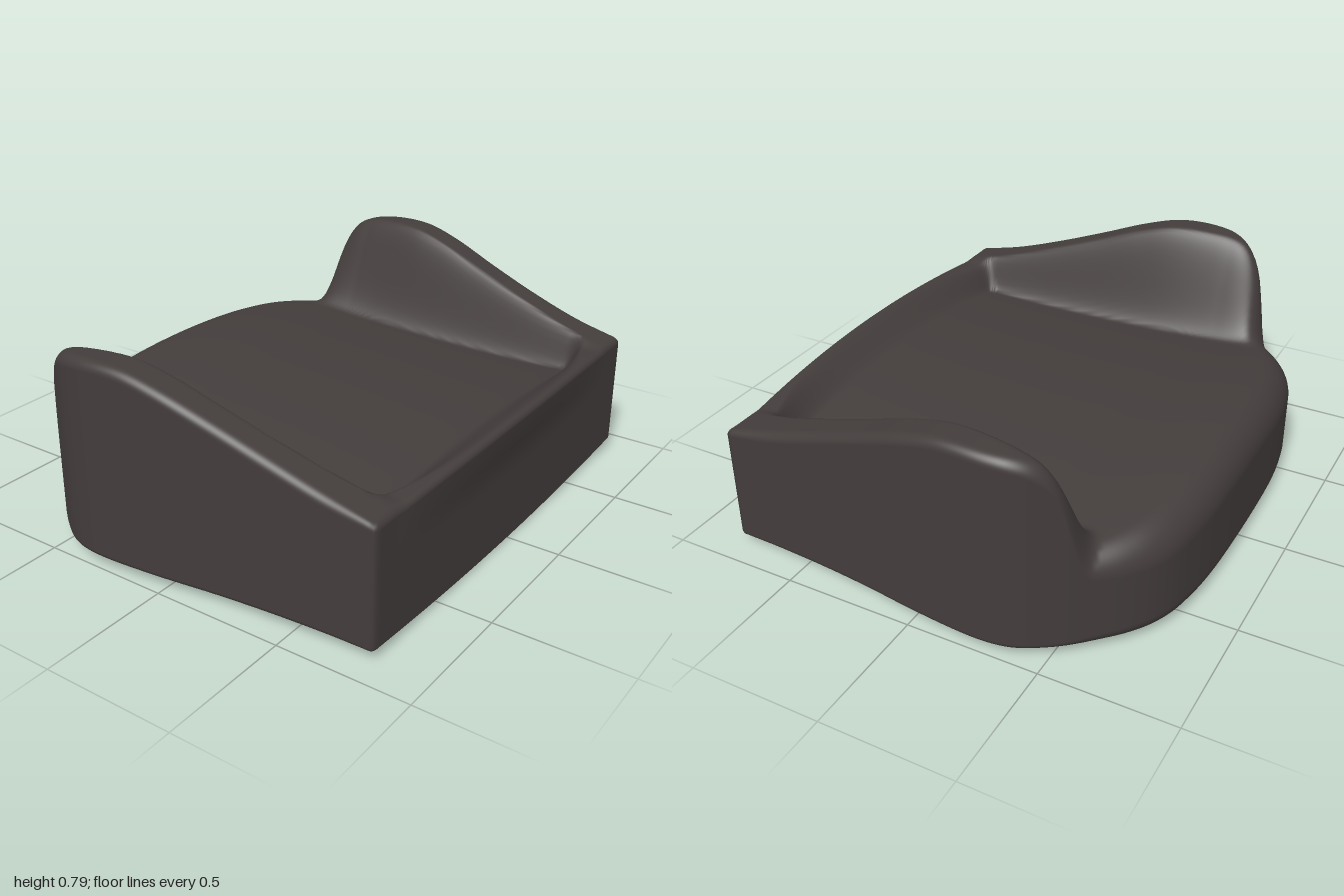
import * as THREE from 'three';

const { smoothstep: smooth, lerp, clamp } = THREE.MathUtils;

// Smooth curve y(x) through points sorted by x
function curve(pts) {
  const slope = (i) => {
    const a = pts[Math.max(i - 1, 0)], b = pts[Math.min(i + 1, pts.length - 1)];
    return (b[1] - a[1]) / (b[0] - a[0]);
  };
  return (x) => {
    if (x <= pts[0][0]) return pts[0][1];
    const last = pts.length - 1;
    if (x >= pts[last][0]) return pts[last][1];
    let i = 0;
    while (x > pts[i + 1][0]) i++;
    const w = pts[i + 1][0] - pts[i][0], t = (x - pts[i][0]) / w, t2 = t * t, t3 = t2 * t;
    return (2 * t3 - 3 * t2 + 1) * pts[i][1] + (t3 - 2 * t2 + t) * w * slope(i)
      + (3 * t2 - 2 * t3) * pts[i + 1][1] + (t3 - t2) * w * slope(i + 1);
  };
}

// Height of the side bolsters and of the seat's centre line along x
const bolsterHeight = curve([[-0.62, 0.32], [-0.595, 0.39], [-0.575, 0.45], [-0.555, 0.55], [-0.53, 0.65],
  [-0.49, 0.72], [-0.43, 0.763], [-0.33, 0.782], [-0.15, 0.782], [0, 0.745], [0.2, 0.672], [0.4, 0.6],
  [0.6, 0.535], [0.8, 0.485]]);
const seatHeight = curve([[-0.83, 0.45], [-0.6, 0.457], [-0.3, 0.44], [0.2, 0.425], [0.6, 0.43], [0.8, 0.45]]);
const edgeRadius = curve([[-0.83, 0.125], [-0.65, 0.09], [-0.5, 0.045], [0.6, 0.035], [0.8, 0.022]]);

function topHeight(x, z) {
  const a = Math.abs(z), across = Math.min(a / 0.75, 1.1) ** 2;
  // Crowned seat pan
  const seat = seatHeight(x) - 0.065 * across;
  // Raised lip along the back, its crest curving forwards at the corners
  const corner = Math.min(a / 0.72, 1) ** 4;
  const crestX = 0.79 - 0.075 * corner;
  const lip = 0.482 + 0.033 * Math.max(1 - across, 0);
  const withLip = lerp(seat, lip, smooth(x, crestX - 0.13 + 0.07 * corner, crestX));
  // Bolster wall, steeper and narrower towards the back
  const along = clamp((x + 0.4) / 1.1, 0, 1);
  const wall = smooth(a, 0.695 + 0.01 * along, 0.91 - 0.14 * along);
  return lerp(withLip, Math.max(bolsterHeight(x), withLip), wall);
}

// Plan outline: rounded front, flat back with tight corners
function planOutline(count) {
  const half = [[0.785, 0.9], [0.6, 0.91], [0.4, 0.925], [0.2, 0.947], [0, 0.976], [-0.2, 0.997], [-0.32, 0.997],
    [-0.41, 0.975], [-0.5, 0.92], [-0.6, 0.84], [-0.7, 0.74], [-0.77, 0.63], [-0.81, 0.49], [-0.833, 0.25]];
  const right = half.map(([x, z]) => new THREE.Vector2(x, -z));
  const left = half.map(([x, z]) => new THREE.Vector2(x, z)).reverse();
  const path = new THREE.Path();
  path.moveTo(0.785, -0.9);
  path.splineThru([...right.slice(1), ...left]);
  path.quadraticCurveTo(0.8, 0.9, 0.8, 0.885);
  path.lineTo(0.8, -0.885);
  path.quadraticCurveTo(0.8, -0.9, 0.785, -0.9);
  return path.getSpacedPoints(count).slice(0, count);
}

function cushionGeometry() {
  const count = 360, outline = planOutline(count);
  const normals = outline.map((p, i) => {
    const t = outline[(i + 1) % count].clone().sub(outline[(i + count - 1) % count]).normalize();
    return new THREE.Vector2(-t.y, t.x);
  });
  const positions = [], index = [];
  let rows = 0;

  const addRow = (point) => {
    outline.forEach((p, i) => {
      let [x, y, z] = point(p, normals[i]);
      // Back lip leans outwards
      const bow = Math.max(1 - (z / 0.76) ** 2, 0);
      x += 0.032 * bow * smooth(x, 0.6, 0.8) * smooth(y, 0.3, 0.5);
      positions.push(x, y, z);
    });
    rows++;
  };
  // Drop of a rounded edge of radius r at a distance d inside it
  const roundOver = (d, r) => (d >= r ? 0 : r - Math.sqrt(r * r - (r - d) ** 2));
  const cap = (t, top) => (p, n) => {
    const x = p.x * t, z = p.y * t;
    const d = Math.max((1 - t) * p.dot(n), 0), r = edgeRadius(p.x);
    const y = top ? topHeight(x, z) - roundOver(d, r) : 0.042 * z * z + roundOver(d, r * 0.55);
    return [x, y, z];
  };

  // Underside, side wall, then top, as rings
  const under = 22, wall = 10, top = 80;
  for (let k = under; k >= 0; k--) addRow(cap(1 - (k / under) ** 3, false));
  for (let k = 1; k < wall; k++) {
    addRow((p, n) => {
      const a = cap(1, false)(p, n), b = cap(1, true)(p, n);
      return [a[0], lerp(a[1], b[1], k / wall), a[2]];
    });
  }
  for (let k = 0; k <= top; k++) addRow(cap(1 - (k / top) ** 2, true));

  for (let j = 0; j < rows - 1; j++) {
    for (let i = 0; i < count; i++) {
      const a = j * count + i, b = j * count + (i + 1) % count;
      index.push(a, b, b + count, a, b + count, a + count);
    }
  }
  const geometry = new THREE.BufferGeometry();
  geometry.setAttribute('position', new THREE.Float32BufferAttribute(positions, 3));
  geometry.setIndex(index);
  geometry.computeVertexNormals();
  return geometry;
}

export function createModel() {
  const model = new THREE.Group();
  model.name = 'seatCushion';
  const fabric = new THREE.MeshStandardMaterial({ color: 0x433d3c });
  fabric.name = 'dark fabric';
  const cushion = new THREE.Mesh(cushionGeometry(), fabric);
  cushion.name = 'bolsteredCushion';
  model.add(cushion);
  return model;
}
